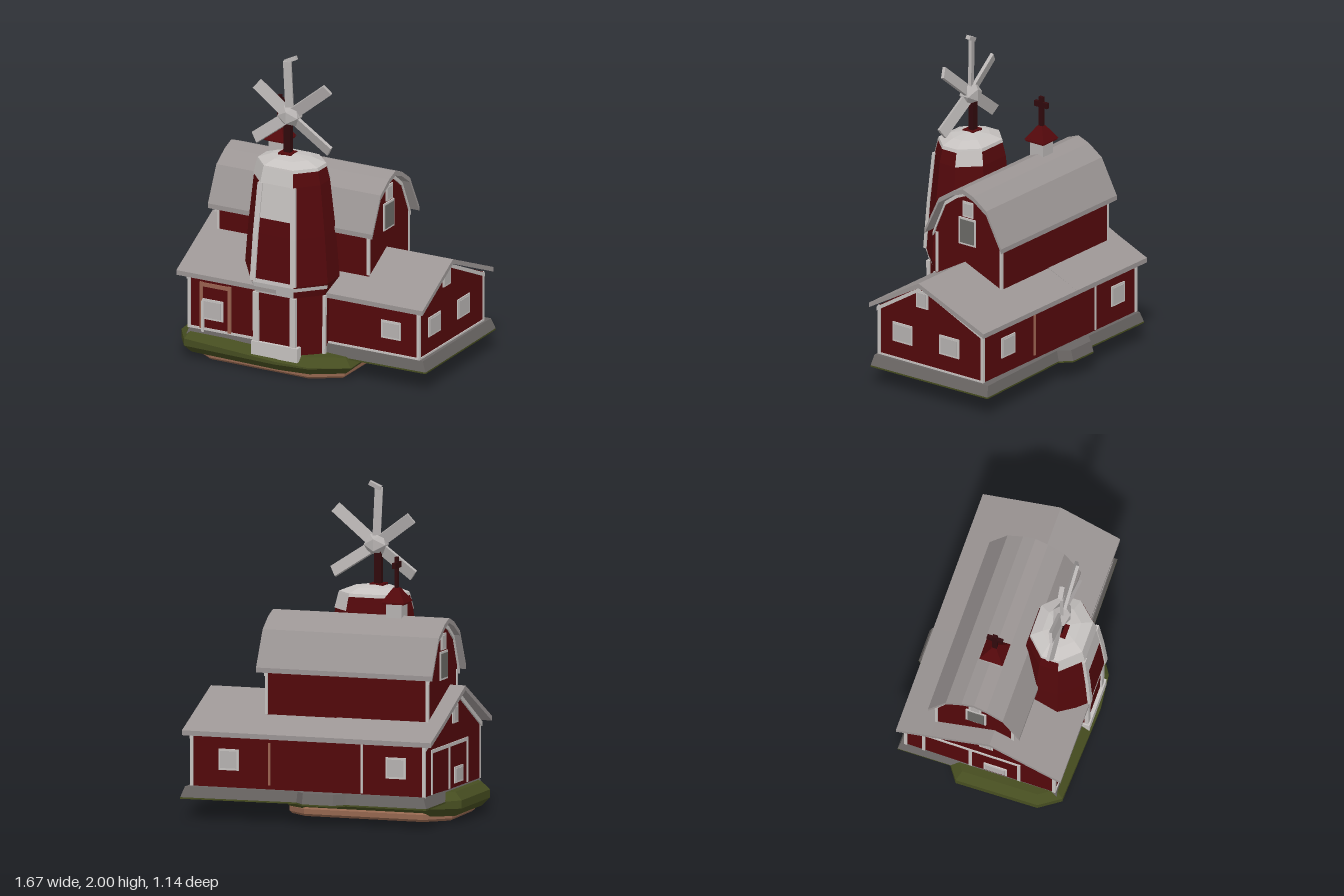
import * as THREE from 'three';

const mat = (name, color) => {
  const m = new THREE.MeshStandardMaterial({ color, flatShading: true, side: THREE.DoubleSide });
  m.name = name;
  return m;
};

export function createModel() {
  const red = mat('barn red', 0x53080b), roofGrey = mat('roof grey', 0x9b9594), white = mat('trim white', 0xc6c2c0);
  const grass = mat('grass green', 0x464d20), earth = mat('earth brown', 0x94664f), stone = mat('stone grey', 0x6a6664);
  const maroon = mat('dark maroon', 0x30090c), pale = mat('pale grey', 0xb6b2b1);
  const salmon = mat('salmon trim', 0x9a6250), dark = mat('dark pane', 0x6b6a66);
  const model = new THREE.Group();
  model.name = 'farmstead';

  const add = (name, geo, material, parent = model) => {
    const m = new THREE.Mesh(geo, material);
    m.name = name;
    parent.add(m);
    return m;
  };
  const box = (name, material, x, y, z, w, h, d, parent) => {
    const m = add(name, new THREE.BoxGeometry(w, h, d), material, parent);
    m.position.set(x, y, z);
    return m;
  };
  // bar between two points
  const strut = (name, material, a, b, w, d, parent) => {
    const A = new THREE.Vector3(...a), B = new THREE.Vector3(...b), dir = B.clone().sub(A);
    const m = add(name, new THREE.BoxGeometry(w, dir.length(), d), material, parent);
    m.position.copy(A).add(B).multiplyScalar(0.5);
    m.quaternion.setFromUnitVectors(new THREE.Vector3(0, 1, 0), dir.normalize());
    return m;
  };
  // [z, y] outline extruded from x0 to x1
  const prism = (name, material, x0, x1, pts) => {
    const shape = new THREE.Shape(pts.map(([z, y]) => new THREE.Vector2(-z, y)));
    const geo = new THREE.ExtrudeGeometry(shape, { depth: x1 - x0, bevelEnabled: false });
    return add(name, geo.rotateY(Math.PI / 2).translate(x0, 0, 0), material);
  };
  const band = (pts, drop, t) => [
    ...pts.map(([z, y]) => [z, y - drop]),
    ...pts.map(([z, y]) => [z, y - drop - t]).reverse(),
  ];
  // [x, z] outline between two heights, chamfered, with an optional rule that moves its vertices
  const slab = (name, material, y0, y1, pts, bevel, rule) => {
    const shape = new THREE.Shape(pts.map(([x, z]) => new THREE.Vector2(x, z)));
    const geo = new THREE.ExtrudeGeometry(shape, {
      depth: y1 - y0 - 2 * bevel, bevelEnabled: bevel > 0, bevelSize: bevel, bevelThickness: bevel,
      bevelOffset: -bevel, bevelSegments: 1,
    });
    geo.rotateX(Math.PI / 2).translate(0, y1 - bevel, 0);
    if (rule) {
      const p = geo.attributes.position;
      for (let i = 0; i < p.count; i++) p.setXYZ(i, ...rule(p.getX(i), p.getY(i), p.getZ(i)));
      geo.computeVertexNormals();
    }
    return add(name, geo, material);
  };
  // framed window; axis 'x' or 'z' is the wall normal
  const framed = (name, axis, x, y, z, w, h, pane = pale, s = 1) => {
    const plate = (n, m, ww, hh, off) => axis === 'z'
      ? box(n, m, x, y, z + s * off, ww, hh, 0.009)
      : box(n, m, x + s * off, y, z, 0.009, hh, ww);
    plate(name + 'Frame', white, w, h, 0.003);
    plate(name + 'Pane', pane, w - 0.025, h - 0.025, 0.007);
  };

  // ground
  slab('earthBase', earth, 0, 0.06, [[-0.76, -0.05], [-0.74, 0.4], [-0.6, 0.49], [0.1, 0.5], [0.28, 0.38],
    [0.28, -0.08], [0.15, -0.18], [-0.62, -0.18]], 0.015);
  slab('grassMound', grass, 0.035, 0.185, [[-0.84, -0.1], [-0.83, 0.42], [-0.74, 0.55], [-0.1, 0.575], [0.12, 0.55],
    [0.34, 0.41], [0.32, -0.1], [0.18, -0.2], [-0.7, -0.2]], 0.05,
  (x, y, z) => [x, y > 0.11 ? y - 0.05 * (x + 0.84) / 1.16 : y, z]);
  const plot = [[-0.76, -0.5], [-0.24, -0.5], [-0.18, -0.565], [0.02, -0.565], [0.08, -0.5], [0.82, -0.53],
    [0.83, 0.36], [0.1, 0.37], [0.02, 0.52], [-0.75, 0.52]];
  slab('stoneFooting', stone, 0.13, 0.195, plot, 0, (x, y, z) => (y > 0.16 ? [x * 0.97, y, z * 0.97] : [x, y, z]));
  slab('footingUnderside', grass, 0.12, 0.13, plot, 0);

  // lower barn
  prism('lowerBarnWallsRight', red, -0.15, 0.775, [[0.34, 0.19], [0.34, 0.51], [0, 0.71], [-0.46, 0.51], [-0.46, 0.19]]);
  prism('lowerBarnWallsLeft', red, -0.735, -0.1,
    [[0.5, 0.19], [0.5, 0.54], [0.1, 0.775], [-0.28, 0.6], [-0.46, 0.51], [-0.46, 0.19]]);
  const rightRoof = [[0.38, 0.53], [0, 0.745], [-0.5, 0.535]];
  const leftRoof = [[0.555, 0.565], [0.1, 0.81], [-0.28, 0.63], [-0.5, 0.535]];
  prism('lowerRoofRight', roofGrey, -0.1, 0.82, band(rightRoof, 0, 0.03));
  prism('lowerRoofLeft', roofGrey, -0.79, -0.1, band(leftRoof, 0, 0.03));
  prism('rightGableTrim', white, 0.77, 0.785, band(rightRoof.map(([z, y]) => [z * 0.92, y]), 0.03, 0.025));
  prism('leftGableTrim', white, -0.745, -0.73, band(leftRoof.map(([z, y]) => [z * 0.92, y]), 0.03, 0.03));
  for (const [x, z, h] of [[0.77, 0.335, 0.32], [0.77, -0.455, 0.32], [-0.73, -0.455, 0.32], [-0.73, 0.495, 0.34]])
    box('cornerPost', white, x, 0.19 + h / 2, z, 0.02, h, 0.02);
  box('frontSill', white, 0.45, 0.2, 0.342, 0.65, 0.015, 0.009);
  box('frontLeftSill', white, -0.5, 0.2, 0.502, 0.46, 0.015, 0.009);
  box('rightSill', white, 0.777, 0.2, -0.06, 0.009, 0.012, 0.8);

  // lower windows and vents
  framed('frontWindow', 'z', 0.58, 0.355, 0.34, 0.135, 0.115);
  for (const z of [0.155, -0.205]) framed('gableWindow', 'x', 0.775, 0.37, z, 0.15, 0.125);
  framed('rightVent', 'x', 0.775, 0.625, 0.005, 0.09, 0.11);
  framed('leftVent', 'x', -0.735, 0.64, 0.06, 0.09, 0.11, pale, -1);
  for (const x of [0.53, -0.55]) framed('backWindow', 'z', x, 0.365, -0.46, 0.13, 0.13, pale, -1);
  box('backStripSalmon', salmon, 0.27, 0.35, -0.462, 0.014, 0.26, 0.009);
  box('backStripWhite', white, -0.33, 0.35, -0.462, 0.014, 0.3, 0.009);

  // front door
  for (const x of [-0.645, -0.45]) box('doorJamb', salmon, x, 0.35, 0.503, 0.022, 0.3, 0.009);
  box('doorLintel', salmon, -0.55, 0.485, 0.503, 0.21, 0.025, 0.009);
  framed('doorWindow', 'z', -0.565, 0.33, 0.502, 0.145, 0.13);
  box('doorPost', white, -0.635, 0.28, 0.506, 0.02, 0.2, 0.009);

  // big side door
  for (const z of [-0.34, -0.04, 0.27]) box('sideDoorPost', white, -0.737, 0.325, z, 0.009, 0.26, 0.02);
  box('sideDoorRail', white, -0.737, 0.46, -0.035, 0.009, 0.022, 0.63);
  framed('sideDoorWindow', 'x', -0.735, 0.265, 0.12, 0.15, 0.1, pale, -1);

  // upper barn
  const gambrel = [[0.27, 0.915], [0.165, 1.135], [0.06, 1.205], [-0.02, 1.235], [-0.1, 1.205], [-0.2, 1.135], [-0.315, 0.915]];
  prism('upperBarnWalls', red, -0.69, 0.36,
    [[0.22, 0.55], [0.22, 0.93], [0.14, 1.1], [-0.02, 1.2], [-0.18, 1.1], [-0.28, 0.92], [-0.28, 0.55]]);
  prism('gambrelRoof', roofGrey, -0.73, 0.41, band(gambrel, 0, 0.03));
  for (const x of [0.355, -0.7]) prism('gambrelTrim', white, x, x + 0.014, band(gambrel.map(([z, y]) => [z * 0.9, y]), 0.03, 0.025));
  for (const x of [0.355, -0.685]) for (const z of [0.215, -0.275])
    box('upperCornerPost', white, x, 0.76, z, 0.018, 0.26, 0.018);
  for (const [x, s] of [[0.36, 1], [-0.69, -1]]) {
    framed('loftDoor', 'x', x, 0.945, -0.02, 0.13, 0.175, dark, s);
    framed('loftVent', 'x', x, 1.09, -0.025, 0.08, 0.1, pale, s);
  }

  // cupola and weather vane
  const cupola = new THREE.Group();
  cupola.name = 'cupola';
  cupola.position.set(-0.385, 0, -0.005);
  model.add(cupola);
  box('cupolaBase', pale, 0, 1.26, 0, 0.1, 0.12, 0.1, cupola);
  const cap = add('cupolaRoof', new THREE.CylinderGeometry(0.025, 0.105, 0.085, 4, 1).rotateY(Math.PI / 4), red, cupola);
  cap.position.y = 1.36;
  box('cupolaEave', red, 0, 1.315, 0, 0.14, 0.018, 0.135, cupola);
  box('vanePole', maroon, 0, 1.485, 0, 0.02, 0.21, 0.03, cupola);
  box('vaneBar', maroon, 0, 1.54, 0, 0.022, 0.035, 0.1, cupola);

  // eight sided tower: one cross-section, scaled along its height; side 0 faces the front
  const tower = new THREE.Group();
  tower.name = 'tower';
  tower.position.set(-0.115, 0, 0.33);
  model.add(tower);
  const section = [[-0.14, 0.23], [0.14, 0.23], [0.288, 0.07], [0.288, -0.08], [0.14, -0.23], [-0.14, -0.23], [-0.288, -0.08], [-0.288, 0.07]];
  const ring = (i, y, s) => [section[(i + 8) % 8][0] * s, y, section[(i + 8) % 8][1] * s];
  const loft = (name, material, levels, sides) => {
    const pos = [];
    for (let j = 0; j < levels.length - 1; j++) for (const i of sides) {
      const [[s0, y0], [s1, y1]] = [levels[j], levels[j + 1]];
      const q = [ring(i, y0, s0), ring(i + 1, y0, s0), ring(i + 1, y1, s1), ring(i, y1, s1)];
      pos.push(...[0, 1, 2, 0, 2, 3].flatMap((n) => q[n]));
    }
    const geo = new THREE.BufferGeometry();
    geo.setAttribute('position', new THREE.Float32BufferAttribute(pos, 3));
    geo.computeVertexNormals();
    add(name, geo, material, tower);
  };
  const all = [0, 1, 2, 3, 4, 5, 6, 7];
  const profile = [[0.9, 0.12], [0.92, 0.52], [1, 0.6], [0.92, 0.9], [0.8, 1.22], [0.72, 1.315]];
  loft('towerWalls', red, profile, all);
  loft('towerCap', white, [[0.74, 1.305], [0.72, 1.325], [0.45, 1.355], [0, 1.375]], all);
  loft('frontWhitePanel', white, [[0.9, 1.0], [0.815, 1.22], [0.735, 1.315]], [0]);
  loft('topWhitePatches', white, [[0.815, 1.22], [0.735, 1.315]], [7, 3]);
  // tower trim
  for (const i of [0, 1]) {
    strut('frontLowerPost', white, ring(i, 0.13, 0.9), ring(i, 0.52, 0.92), 0.04, 0.025, tower);
    strut('frontMiddlePost', white, ring(i, 0.6, 1), ring(i, 0.9, 0.92), 0.035, 0.02, tower);
    strut('frontUpperPost', white, ring(i, 0.9, 0.92), ring(i, 1.22, 0.8), 0.035, 0.02, tower);
  }
  for (const i of [2, 7]) strut('sideFootPost', white, ring(i, 0.13, 0.9), ring(i, 0.52, 0.92), 0.02, 0.02, tower);
  loft('frontBelt', white, [[0.935, 0.52], [1.012, 0.59], [1.005, 0.615]], [0]);
  loft('sideBelt', white, [[0.985, 0.565], [1.01, 0.59]], [1, 7]);
  box('towerStep', white, -0.11, 0.16, 0.535, 0.32, 0.09, 0.05);

  // windmill
  const mill = new THREE.Group();
  mill.name = 'windmill';
  mill.position.set(-0.125, 1.61, 0.335);
  model.add(mill);
  box('mast', maroon, -0.015, -0.145, -0.005, 0.045, 0.23, 0.035, mill);
  box('mastFoot', red, -0.015, -0.25, 0, 0.09, 0.03, 0.08, mill);
  const hub = add('hub', new THREE.IcosahedronGeometry(0.075, 0), pale, mill);
  hub.scale.set(1.1, 0.95, 0.85);
  for (const [x, y] of [[0.265, 0.215], [0.28, -0.18], [-0.24, -0.18], [-0.225, 0.17], [-0.015, 0.35]]) {
    const blade = strut('blade', pale, [x * 0.1, y * 0.1, 0], [x, y, 0.005], y > 0.3 ? 0.05 : 0.072, 0.02, mill);
    blade.rotateY(0.3);
  }
  strut('bladeTip', pale, [-0.03, 0.345, 0], [0.04, 0.378, -0.01], 0.025, 0.03, mill);
  return model;
}
